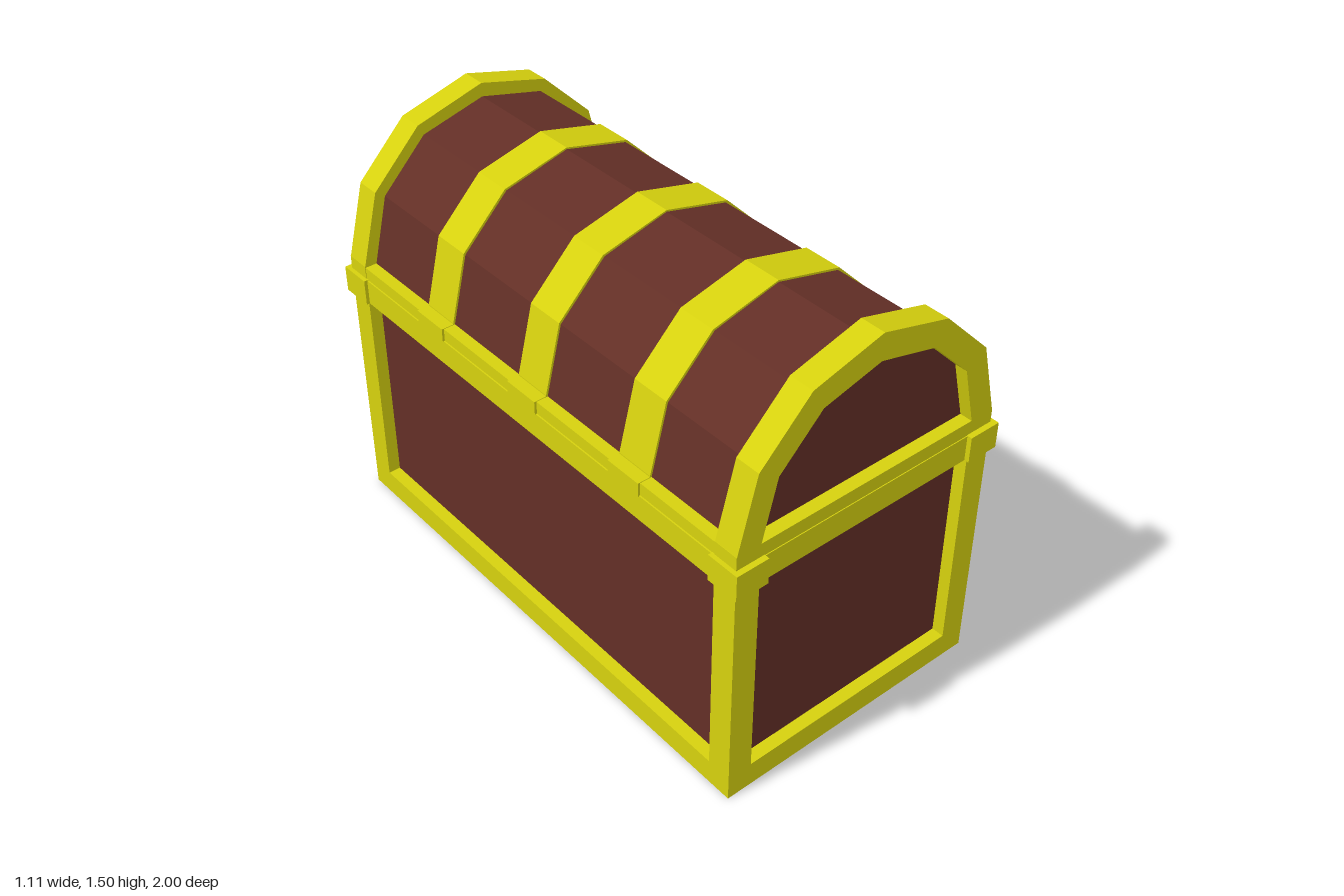
import * as THREE from 'three';

export function createModel() {
  const gold = new THREE.MeshStandardMaterial({ color: 0xd6d10e });
  gold.name = 'gold';
  const wood = new THREE.MeshStandardMaterial({ color: 0x632f26 });
  wood.name = 'brown wood';
  gold.flatShading = wood.flatShading = true;

  const model = new THREE.Group();
  model.name = 'treasureChest';
  const chest = new THREE.Group();
  chest.name = 'chest';
  chest.position.x = -0.025; // the clasp sticks out on one side
  model.add(chest);

  const add = (name, geometry, material) => {
    const mesh = new THREE.Mesh(geometry, material);
    mesh.name = name;
    chest.add(mesh);
    return mesh;
  };
  // Box given by its lowest and highest corners
  const box = (name, x0, x1, y0, y1, z0, z1, material = gold) =>
    add(name, new THREE.BoxGeometry(x1 - x0, y1 - y0, z1 - z0), material)
      .position.set((x0 + x1) / 2, (y0 + y1) / 2, (z0 + z1) / 2);
  // Same box at sx and sz times its centre
  const mirrored = (name, sx, sz, x0, x1, y0, y1, z0, z1, material) => box(name,
    sx < 0 ? -x1 : x0, sx < 0 ? -x0 : x1, y0, y1,
    sz < 0 ? -z1 : z0, sz < 0 ? -z0 : z1, material);
  // Full symmetric outline from its right half, going from right to left
  const arch = (half) => [...half, ...half.slice(0, -1).reverse().map(([x, y]) => [-x, y])];
  const extrude = (name, points, z0, z1, material) => {
    const shape = new THREE.Shape(points.map(([x, y]) => new THREE.Vector2(x, y)));
    const geometry = new THREE.ExtrudeGeometry(shape, { depth: z1 - z0, bevelEnabled: false });
    return add(name, geometry.translate(0, 0, z0), material);
  };

  const W = 0.515, D = 0.98, T = 0.09;

  // Corner posts and the blocks that cap them
  for (const sx of [-1, 1]) for (const sz of [-1, 1]) {
    mirrored('cornerPost', sx, sz, W - T, W, 0, 0.94, D - T, D);
    mirrored('cornerBlock', sx, sz, 0.41, 0.53, 0.848, 0.942, 0.88, 1);
  }

  // Rails and wood panels of the long sides
  for (const s of [-1, 1]) {
    mirrored('sideBottomRail', s, 1, W - T, W, 0, T, -D + T, D - T);
    mirrored('sideTopRail', s, 1, W - T, W + 0.003, 0.848, 0.94, -D + T, D - T);
    mirrored('sideLidRim', s, 1, W - T, W - 0.002, 0.94, 0.985, -D, D);
    mirrored('sidePanel', s, 1, 0.45, 0.47, T, 0.85, -D + T, D - T, wood);
  }

  // Rails and wood panels of the two ends
  for (const s of [-1, 1]) {
    mirrored('endBottomRail', 1, s, -W + T, W - T, 0, T, D - T, D);
    mirrored('endTopRail', 1, s, -W + T, W - T, 0.848, 0.94, D - T, D + 0.003);
    mirrored('endLidRim', 1, s, -W, W, 0.94, 0.99, D - T, D);
    mirrored('endPanel', 1, s, -W + T, W - T, T, 0.85, 0.91, 0.935, wood);
    mirrored('innerEndPlate', 1, s, -W + T, W - T, T, 0.85, 0.9, 0.908);
  }

  // Faceted barrel lid
  const barrel = [[0.47, 0.95], [0.47, 0.985], [0.41, 1.225], [0.24, 1.395], [0, 1.455]];
  extrude('lidBarrel', arch(barrel), -0.935, 0.935, wood);

  // Metal bands over the lid, with tabs on the rim
  const band = barrel.map(([x, y], i) => [x && x + 0.006, i ? y + 0.006 : y]);
  for (const z of [-0.495, 0, 0.495]) {
    extrude('lidBand', arch(band), z - 0.07, z + 0.07, gold);
    for (const s of [-1, 1]) mirrored('bandTab', s, 1, 0.45, 0.521, 0.937, 0.987, z - 0.07, z + 0.07);
  }

  // Arched frames at both ends of the lid
  const outer = arch([[W, 0.985], [0.445, 1.25], [0.26, 1.435], [0, 1.505]]);
  const inner = arch([[0.425, 0.985], [0.37, 1.2], [0.215, 1.355], [0, 1.41]]);
  for (const s of [-1, 1]) {
    const z = s * (D - T / 2);
    extrude('lidEndArch', [...outer, ...inner.reverse()], z - T / 2, z + T / 2, gold);
    inner.reverse();
  }

  // Clasp plate: a strap from the rim, widening below and rounded at its foot
  const clasp = extrude('claspPlate', arch([
    [0.07, 0.942], [0.07, 0.85], [0.095, 0.85], [0.095, 0.758], [0.062, 0.758], [0.035, 0.735], [0, 0.728],
  ].reverse()).length ? [
    [-0.07, 0.942], [-0.07, 0.85], [-0.095, 0.85], [-0.095, 0.758], [-0.062, 0.758], [-0.035, 0.735],
    [0, 0.728], [0.035, 0.735], [0.062, 0.758], [0.095, 0.758], [0.095, 0.85], [0.07, 0.85], [0.07, 0.942],
  ] : [], 0.47, 0.522, gold);
  clasp.rotation.y = Math.PI / 2;

  // Raised slot surround and the staple ring through it
  for (const s of [-1, 1]) {
    mirrored('slotSide', 1, s, 0.515, 0.53, 0.775, 0.895, 0.014, 0.024);
    box('slotEnd', 0.515, 0.53, s > 0 ? 0.885 : 0.775, s > 0 ? 0.895 : 0.785, -0.014, 0.014);
  }
  const ring = new THREE.Shape();
  ring.moveTo(0.515, 0.787);
  ring.lineTo(0.56, 0.787);
  ring.lineTo(0.58, 0.807);
  ring.lineTo(0.58, 0.865);
  ring.lineTo(0.56, 0.885);
  ring.lineTo(0.515, 0.885);
  ring.holes.push(new THREE.Path().absellipse(0.544, 0.836, 0.017, 0.021, 0, Math.PI * 2, true));
  add('stapleRing', new THREE.ExtrudeGeometry(ring, { depth: 0.024, bevelEnabled: false, curveSegments: 4 })
    .translate(0, 0, -0.012), gold);

  // Heap of treasure inside
  const heap = add('treasureHeap', new THREE.SphereGeometry(1, 16, 10), gold);
  heap.scale.set(0.46, 0.42, 0.89);
  heap.position.y = 0.51;

  return model;
}
